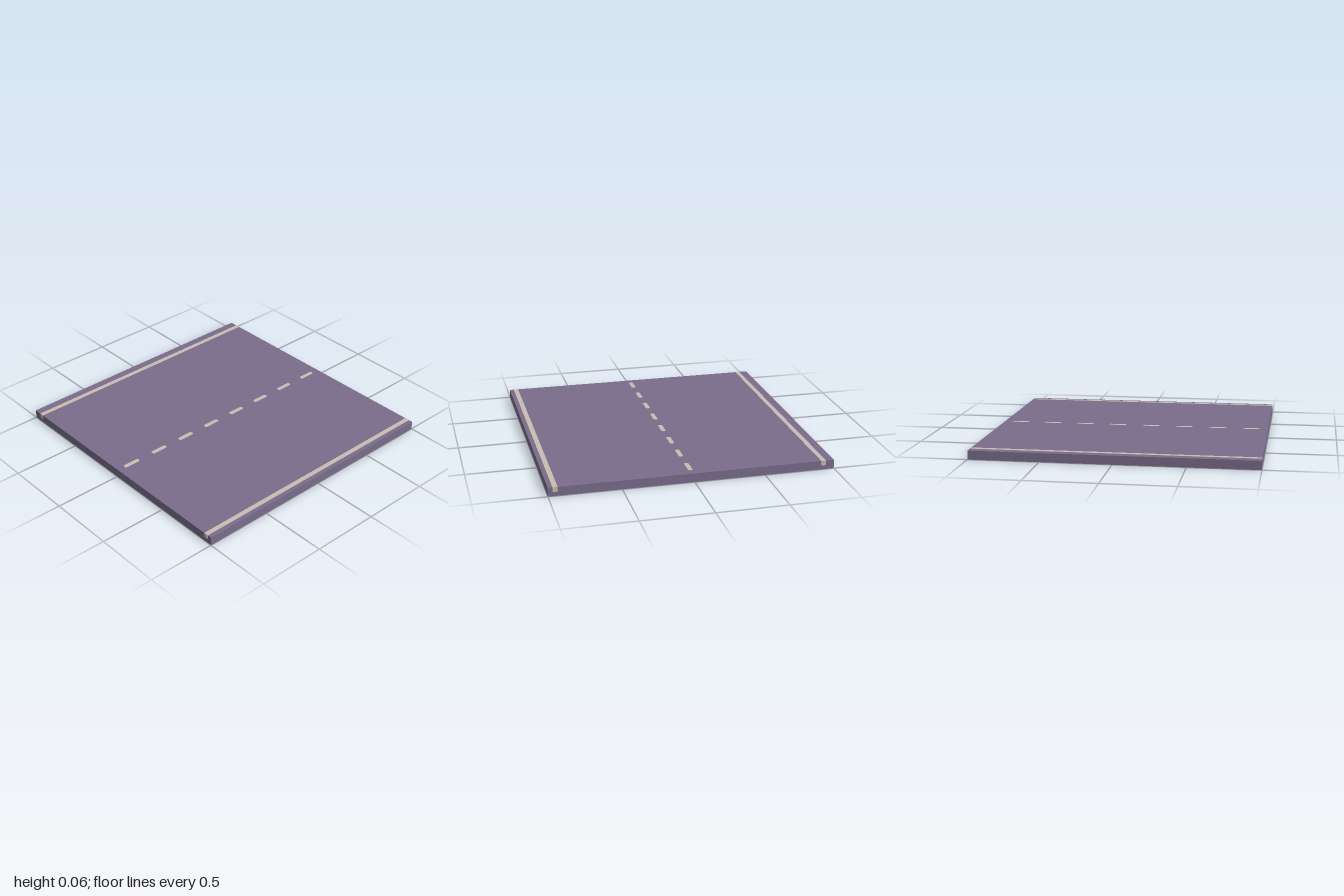
import * as THREE from 'three';

export function createModel() {
  const group = new THREE.Group();
  const asphalt = new THREE.MeshStandardMaterial({ color: 0x7a6d8c });
  asphalt.name = 'purple grey asphalt';
  const paint = new THREE.MeshStandardMaterial({ color: 0xc9beb3 });
  paint.name = 'cream paint';

  const top = 0.064;

  function add(name, geometry, material, x, y, z) {
    const mesh = new THREE.Mesh(geometry, material);
    mesh.name = name;
    mesh.position.set(x, y, z);
    group.add(mesh);
  }

  // Rectangle with cut corners, centred on the origin
  function cutRect(w, h, c) {
    const a = w / 2, b = h / 2;
    return new THREE.Shape([
      [-a + c, -b], [a - c, -b], [a, -b + c], [a, b - c],
      [a - c, b], [-a + c, b], [-a, b - c], [-a, -b + c],
    ].map(([x, y]) => new THREE.Vector2(x, y)));
  }

  // Road slab
  const slabHeight = top - 0.001;
  add('roadSlab', new THREE.BoxGeometry(1.998, slabHeight, 2), asphalt, 0, slabHeight / 2, 0);

  // Edge lines: inlaid bars whose ends show on both sides of the slab
  const bar = new THREE.ExtrudeGeometry(cutRect(0.035, 0.036, 0.008), { depth: 2, bevelEnabled: false });
  bar.translate(0, 0, -1).rotateY(Math.PI / 2);
  const cap = new THREE.BoxGeometry(2, 0.008, 0.035);
  for (const [side, z] of [['front', 0.951], ['back', -0.923]]) {
    add(side + 'EdgeLine', bar, paint, 0, top - 0.018, z);
    add(side + 'EdgeLineTop', cap, paint, 0, top - 0.004, z);
  }

  // Dashed centre line
  const dash = new THREE.ExtrudeGeometry(cutRect(0.128, 0.032, 0.008), { depth: 0.006, bevelEnabled: false });
  dash.rotateX(-Math.PI / 2);
  for (let i = 0; i < 8; i++) {
    add('centreDash' + (i + 1), dash, paint, -0.877 + i * 0.2505, top - 0.006, 0.013);
  }

  return group;
}
